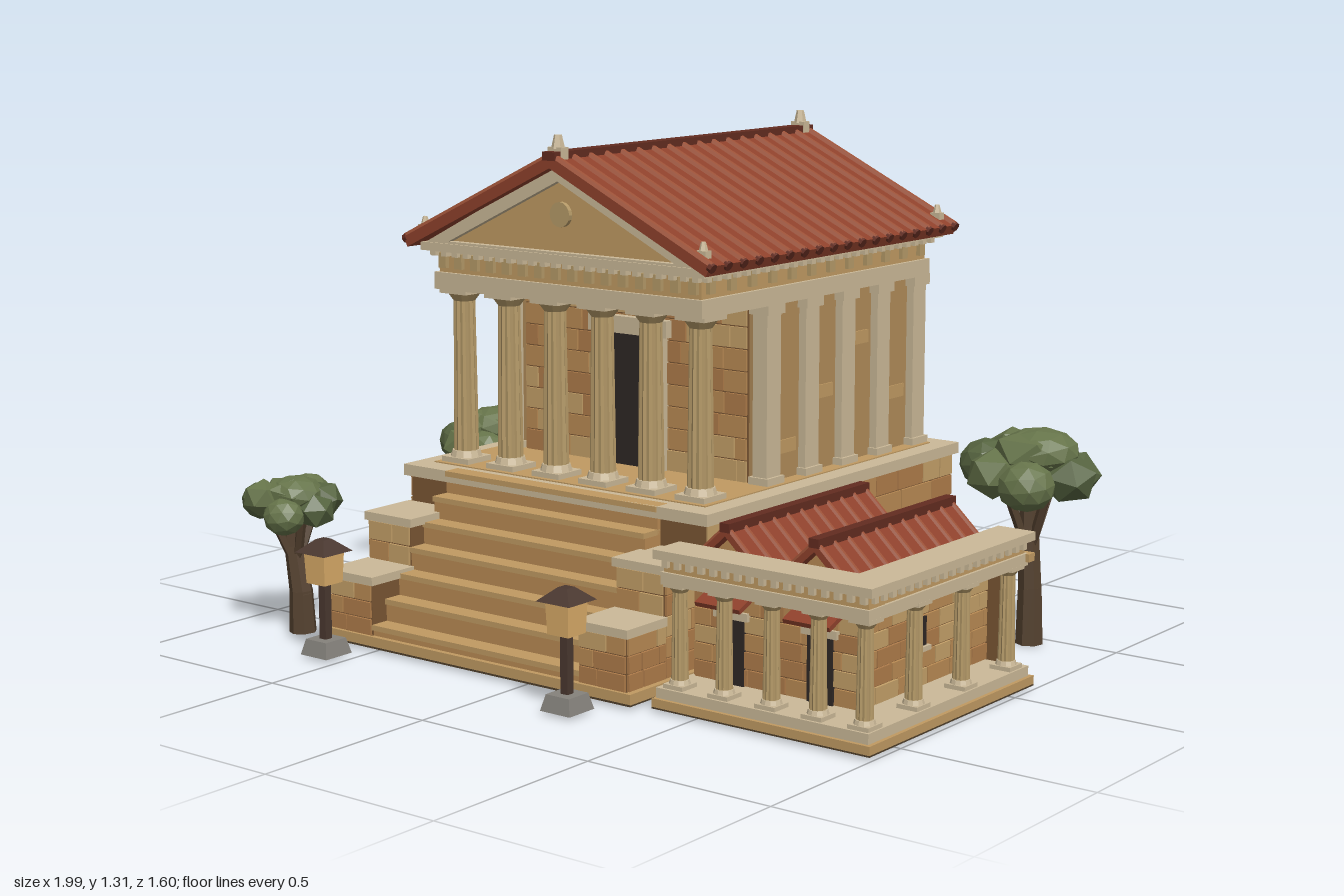
import * as THREE from 'three';
import { mergeGeometries } from 'three/addons/utils/BufferGeometryUtils.js';

const mat = (color) => new THREE.MeshStandardMaterial({ color, flatShading: true });
const M = {
  stone: mat(0xcbb998), tan: mat(0xc09a62), column: mat(0xb59a68), mortar: mat(0x7a5634),
  brickA: mat(0xb98a53), brickB: mat(0xc4a068), brickC: mat(0xaf7c4a), wall: mat(0xb08b59),
  roof: mat(0x8f412c), rib: mat(0x9c5238), ridge: mat(0x632c20), dark: mat(0x2e2725),
  under: mat(0x4f3f2b), bark: mat(0x54412f), leaf: mat(0x66744a), leafDark: mat(0x566440),
  grey: mat(0x85827c), lamp: mat(0xdcae69), post: mat(0x4a3830),
};
const CX = -0.17; // temple axis

function rng(seed) {
  return () => (seed = (seed * 16807) % 2147483647) / 2147483647;
}
function add(parent, name, geo, material, x = 0, y = 0, z = 0) {
  const m = new THREE.Mesh(geo, material);
  m.name = name;
  m.position.set(x, y, z);
  parent.add(m);
  return m;
}
function group(parent, name, x = 0, y = 0, z = 0) {
  const g = new THREE.Group();
  g.name = name;
  g.position.set(x, y, z);
  parent.add(g);
  return g;
}
// Box given by its limits on each axis
function box(parent, name, material, x0, x1, y0, y1, z0, z1) {
  return add(parent, name, new THREE.BoxGeometry(x1 - x0, y1 - y0, z1 - z0), material,
    (x0 + x1) / 2, (y0 + y1) / 2, (z0 + z1) / 2);
}
// Courses of uneven bricks on a vertical face; x, z is the face centre, turn its heading
function bricks(parent, name, x, y, z, turn, w, h, rows, seed) {
  const g = group(parent, name, x, y, z), rand = rng(seed), sets = [[], [], []];
  g.rotation.y = turn;
  const rh = h / rows, gap = 0.004;
  for (let r = 0; r < rows; r++) {
    let u = -w / 2;
    while (u < w / 2 - 0.005) {
      let len = rh * (1.3 + rand() * 1.3);
      if (u === -w / 2 && r % 2) len *= 0.55;
      if (w / 2 - u - len < rh * 0.5) len = w / 2 - u;
      const b = new THREE.BoxGeometry(len - gap, rh - gap, 0.008 + rand() * 0.004);
      sets[Math.floor(rand() * 3)].push(b.translate(u + len / 2, rh * (r + 0.5), 0.001));
      u += len;
    }
  }
  sets.forEach((s, i) => s.length && add(g, 'bricks', mergeGeometries(s), [M.brickA, M.brickB, M.brickC][i]));
}
// Fluted column with plinth, torus, echinus and abacus
function column(parent, x, z, y0, y1, r) {
  const g = group(parent, 'column', x, y0, z), h = y1 - y0, n = 24;
  const shaft = new THREE.CylinderGeometry(r * 0.85, r, h - r * 1.6, n, 1, true), p = shaft.attributes.position;
  for (let i = 0; i < p.count; i++)
    if ((i % (n + 1)) % 2) { p.setX(i, p.getX(i) * 0.87); p.setZ(i, p.getZ(i) * 0.87); }
  add(g, 'shaft', shaft, M.column, 0, h / 2);
  add(g, 'plinth', new THREE.BoxGeometry(r * 2.7, r * 0.5, r * 2.7), M.stone, 0, r * 0.25);
  add(g, 'baseRing', new THREE.CylinderGeometry(r * 1.1, r * 1.25, r * 0.5, 12), M.stone, 0, r * 0.75);
  add(g, 'echinus', new THREE.CylinderGeometry(r * 1.3, r * 0.85, r * 0.6, 12), M.column, 0, h - r * 0.8);
  add(g, 'abacus', new THREE.BoxGeometry(r * 2.7, r * 0.5, r * 2.7), M.stone, 0, h - r * 0.25);
}
// Two ribbed slopes meeting at a ridge that runs along z
function gableRoof(parent, name, cx, half, eave, ridge, z0, z1, t, ribs, r) {
  const g = group(parent, name, cx, ridge, 0);
  const a = Math.atan2(ridge - eave, half), L = Math.hypot(half, ridge - eave);
  for (const s of [-1, 1]) {
    const side = group(g, 'slope');
    side.rotation.z = -s * a;
    box(side, 'tiles', M.roof, Math.min(0, s * L), Math.max(0, s * L), -t, 0, z0, z1);
    const list = [], ends = [];
    for (let i = 0; i <= ribs; i++) {
      const z = z0 + r + ((z1 - z0 - 2 * r) * i) / ribs;
      list.push(new THREE.CylinderGeometry(r, r, L, 6).rotateZ(Math.PI / 2).translate(s * L / 2, 0, z));
      ends.push(new THREE.CylinderGeometry(r * 1.3, r * 1.3, 0.012, 8).rotateZ(Math.PI / 2).translate(s * L, -r * 0.4, z));
    }
    add(side, 'ribs', mergeGeometries(list), M.rib);
    add(side, 'tileEnds', mergeGeometries(ends), M.ridge);
  }
  box(g, 'ridgeCap', M.ridge, -r * 2, r * 2, -0.012, 0.01, z0 - 0.003, z1 + 0.003);
}
// Row of small blocks from a to b along one axis
function blocks(parent, name, material, n, a, b, size, place) {
  const list = [];
  for (let i = 0; i < n; i++)
    list.push(new THREE.BoxGeometry(...size).translate(...place(a + ((b - a) * i) / (n - 1))));
  add(parent, name, mergeGeometries(list), material);
}
function triangle(half, h) {
  return [new THREE.Vector2(-half, 0), new THREE.Vector2(half, 0), new THREE.Vector2(0, h)];
}

function temple(root) {
  const g = group(root, 'temple');
  // Podium and cornice
  box(g, 'underside', M.under, -0.67, 0.335, 0, 0.005, -0.8, 0.645);
  box(g, 'podiumPlinth', M.tan, -0.67, 0.335, 0.004, 0.03, -0.8, 0.645);
  box(g, 'podiumCore', M.mortar, -0.655, 0.32, 0.03, 0.385, -0.785, 0.33);
  box(g, 'podiumFloor', M.stone, -0.67, 0.335, 0.38, 0.41, -0.8, 0.345);
  box(g, 'porchFloor', M.tan, -0.62, 0.28, 0.41, 0.413, -0.74, 0.28);
  bricks(g, 'podiumBack', CX, 0.03, -0.785, Math.PI, 0.975, 0.35, 6, 11);
  bricks(g, 'podiumLeft', 0.32, 0.03, -0.227, Math.PI / 2, 1.115, 0.35, 6, 23);
  bricks(g, 'podiumRight', -0.655, 0.03, -0.227, -Math.PI / 2, 1.115, 0.35, 6, 37);
  // Stairs between stepped cheek walls
  for (let i = 0; i < 7; i++) {
    const h = 0.41 * (i + 1) / 7, z = 0.637 - i * 0.048;
    box(g, 'step', M.brickA, -0.52, 0.18, 0.01, h - 0.014, 0.32, z - 0.006);
    box(g, 'tread', M.tan, -0.52, 0.18, h - 0.014, h, 0.3, z);
  }
  for (const s of [-1, 1]) for (const [z0, z1, h, seed] of [[0.33, 0.49, 0.31, 5], [0.49, 0.635, 0.185, 9]]) {
    const x = CX + s * 0.415;
    box(g, 'cheekWall', M.mortar, x - 0.072, x + 0.072, 0.03, h - 0.02, z0, z1);
    box(g, 'cheekCap', M.stone, x - 0.082, x + 0.082, h - 0.022, h, z0, z1 + 0.01);
    const rows = Math.round(h / 0.06);
    bricks(g, 'cheekFront', x, 0.03, z1, 0, 0.144, h - 0.052, rows, seed);
    bricks(g, 'cheekSide', x + s * 0.072, 0.03, (z0 + z1) / 2, s * Math.PI / 2, z1 - z0, h - 0.052, rows, seed + 4);
  }
  // Cella walls, pilasters and door
  box(g, 'cella', M.wall, -0.58, 0.24, 0.41, 0.88, -0.725, -0.01);
  box(g, 'backMortar', M.mortar, -0.54, 0.2, 0.41, 0.88, -0.732, -0.72);
  box(g, 'frontMortar', M.mortar, -0.54, 0.2, 0.41, 0.88, -0.012, -0.004);
  bricks(g, 'cellaBack', CX, 0.412, -0.732, Math.PI, 0.74, 0.46, 9, 71);
  bricks(g, 'cellaFront', CX, 0.412, -0.004, 0, 0.74, 0.46, 8, 83);
  for (const s of [-1, 1]) {
    const x = CX + s * 0.41;
    for (const z of [-0.03, -0.2, -0.365, -0.53, -0.705]) {
      box(g, 'pilaster', M.stone, x - 0.022, x + 0.022, 0.41, 0.88, z - 0.03, z + 0.03);
      box(g, 'pilasterBase', M.stone, x - 0.03, x + 0.03, 0.41, 0.432, z - 0.037, z + 0.037);
      box(g, 'pilasterCapital', M.stone, x - 0.03, x + 0.03, 0.85, 0.88, z - 0.037, z + 0.037);
    }
    for (const [y, z] of [[0.48, -0.115], [0.72, -0.445], [0.6, -0.28], [0.55, -0.62]])
      box(g, 'exposedBrick', M.tan, x - 0.004, x + 0.004, y, y + 0.035, z - 0.04, z + 0.04);
    box(g, 'doorJamb', M.stone, CX + s * 0.095 - 0.02, CX + s * 0.095 + 0.02, 0.41, 0.78, -0.01, 0.02);
  }
  box(g, 'door', M.dark, CX - 0.08, CX + 0.08, 0.41, 0.765, -0.01, 0.008);
  box(g, 'doorLintel', M.stone, CX - 0.13, CX + 0.13, 0.765, 0.81, -0.01, 0.026);
  for (let i = 0; i < 6; i++) column(g, CX + (i - 2.5) * 0.156, 0.22, 0.41, 0.88, 0.034);
  // Entablature
  box(g, 'architrave', M.stone, CX - 0.44, CX + 0.44, 0.875, 0.92, -0.74, 0.28);
  box(g, 'frieze', M.tan, CX - 0.43, CX + 0.43, 0.92, 0.98, -0.73, 0.27);
  box(g, 'cornice', M.stone, CX - 0.465, CX + 0.465, 0.978, 1.0, -0.765, 0.305);
  for (const s of [-1, 1]) {
    blocks(g, 'sideBlocks', M.column, 12, -0.7, 0.24, [0.02, 0.04, 0.025], (z) => [CX + s * 0.432, 0.952, z]);
    blocks(g, 'endBlocks', M.column, 16, -0.41, 0.41, [0.025, 0.04, 0.02], (x) => [CX + x, 0.952, s > 0 ? 0.272 : -0.732]);
    blocks(g, 'dentils', M.stone, 26, -0.73, 0.27, [0.02, 0.015, 0.018], (z) => [CX + s * 0.445, 0.972, z]);
    blocks(g, 'endDentils', M.stone, 24, -0.43, 0.43, [0.018, 0.015, 0.02], (x) => [CX + x, 0.972, s > 0 ? 0.285 : -0.745]);
    // Pediment
    const zEnd = s > 0 ? 0.27 : -0.73;
    const rim = new THREE.Shape(triangle(0.465, 0.235));
    const hole = new THREE.Path(triangle(0.37, 0.178).map((p) => p.add(new THREE.Vector2(0, 0.014))));
    rim.holes.push(hole);
    add(g, 'rakingCornice', new THREE.ExtrudeGeometry(rim, { depth: 0.035, bevelEnabled: false }), M.stone, CX, 0.992, s > 0 ? 0.265 : -0.76);
    add(g, 'tympanum', new THREE.ExtrudeGeometry(new THREE.Shape(triangle(0.44, 0.22)), { depth: 0.02, bevelEnabled: false }), M.tan, CX, 0.995, zEnd - 0.01);
    add(g, 'medallion', new THREE.CylinderGeometry(0.032, 0.032, 0.02, 16).rotateX(Math.PI / 2), M.column, CX, 1.1, zEnd + s * 0.012);
    // Roof ornaments
    const zf = s > 0 ? 0.295 : -0.75;
    box(g, 'ridgePedestal', M.stone, CX - 0.022, CX + 0.022, 1.235, 1.27, zf - 0.014, zf + 0.014);
    add(g, 'ridgeFinial', new THREE.CylinderGeometry(0.01, 0.018, 0.035, 6), M.stone, CX, 1.283, zf);
    for (const e of [-1, 1]) {
      box(g, 'cornerPedestal', M.stone, CX + e * 0.455 - 0.015, CX + e * 0.455 + 0.015, 1.01, 1.045, zf - 0.012, zf + 0.012);
      add(g, 'cornerFinial', new THREE.CylinderGeometry(0.006, 0.012, 0.022, 6), M.stone, CX + e * 0.455, 1.055, zf);
    }
  }
  gableRoof(g, 'roof', CX, 0.5, 1.012, 1.25, -0.78, 0.33, 0.028, 17, 0.01);
}

function annex(root) {
  const g = group(root, 'annex');
  box(g, 'underside', M.under, 0.38, 0.995, 0, 0.004, -0.095, 0.62);
  box(g, 'lowerBase', M.tan, 0.38, 0.995, 0.004, 0.025, -0.095, 0.62);
  box(g, 'upperBase', M.stone, 0.385, 0.985, 0.025, 0.05, -0.085, 0.61);
  // Twin shops with gabled roofs
  box(g, 'shopWalls', M.mortar, 0.4, 0.87, 0.05, 0.315, -0.075, 0.475);
  bricks(g, 'shopFront', 0.635, 0.05, 0.475, 0, 0.47, 0.26, 6, 41);
  bricks(g, 'shopSide', 0.87, 0.05, 0.2, Math.PI / 2, 0.55, 0.26, 6, 43);
  bricks(g, 'shopOuterSide', 0.4, 0.05, 0.2, -Math.PI / 2, 0.55, 0.26, 6, 45);
  for (const x of [0.512, 0.765]) {
    add(g, 'gable', new THREE.ExtrudeGeometry(new THREE.Shape(triangle(0.115, 0.11)), { depth: 0.55, bevelEnabled: false }), M.brickA, x, 0.308, -0.075);
    gableRoof(g, 'shopRoof', x, 0.123, 0.322, 0.435, -0.07, 0.51, 0.016, 10, 0.007);
    box(g, 'shopDoor', M.dark, x - 0.036, x + 0.036, 0.05, 0.21, 0.47, 0.484);
    box(g, 'doorLintel', M.stone, x - 0.05, x + 0.05, 0.21, 0.23, 0.47, 0.49);
    const awning = add(g, 'awning', new THREE.BoxGeometry(0.13, 0.012, 0.075), M.roof, x, 0.262, 0.505);
    awning.rotation.x = 0.4;
  }
  box(g, 'window', M.dark, 0.86, 0.88, 0.15, 0.22, 0.21, 0.265);
  box(g, 'windowSill', M.stone, 0.86, 0.888, 0.138, 0.15, 0.2, 0.275);
  // Rear wall
  box(g, 'rearWall', M.mortar, 0.385, 0.93, 0.03, 0.315, -0.085, -0.07);
  bricks(g, 'rearBricks', 0.657, 0.05, -0.085, Math.PI, 0.545, 0.265, 6, 47);
  box(g, 'rearCoping', M.tan, 0.38, 0.99, 0.31, 0.33, -0.095, -0.068);
  // Colonnade on two sides
  for (const x of [0.43, 0.56, 0.695, 0.825]) column(g, x, 0.575, 0.05, 0.305, 0.021);
  for (const z of [0.575, 0.375, 0.17, -0.035]) column(g, 0.952, z, 0.05, 0.305, 0.021);
  box(g, 'frontBeam', M.stone, 0.395, 0.98, 0.3, 0.33, 0.53, 0.605);
  box(g, 'sideBeam', M.stone, 0.91, 0.98, 0.3, 0.33, -0.08, 0.6);
  box(g, 'frontFrieze', M.tan, 0.4, 0.975, 0.33, 0.365, 0.535, 0.598);
  box(g, 'sideFrieze', M.tan, 0.915, 0.973, 0.33, 0.365, -0.075, 0.595);
  box(g, 'frontCornice', M.stone, 0.382, 0.995, 0.362, 0.384, 0.515, 0.618);
  box(g, 'sideCornice', M.stone, 0.89, 0.994, 0.362, 0.383, -0.09, 0.615);
  blocks(g, 'frontDentils', M.stone, 17, 0.41, 0.965, [0.016, 0.02, 0.014], (x) => [x, 0.352, 0.602]);
  blocks(g, 'sideDentils', M.stone, 19, -0.06, 0.58, [0.014, 0.02, 0.016], (z) => [0.977, 0.352, z]);
}

// Bent trunk, forked limbs and faceted leaf clumps
function tree(root, x, z, rx, rz, y0, y1, lean, seed) {
  const g = group(root, 'tree', x, 0, z), rand = rng(seed), mid = (y0 + y1) / 2, ry = (y1 - y0) / 2;
  const pts = [[lean, 0], [lean * 0.9, 0.3], [lean * 0.2, 0.65], [0, 1]].map(([o, k]) => new THREE.Vector3(o, k * mid, 0));
  for (let i = 0; i < 3; i++)
    add(g, 'trunk', new THREE.CylinderGeometry(0.031 - i * 0.005, 0.036 - i * 0.005, pts[i].distanceTo(pts[i + 1]) + 0.012, 7), M.bark,
      (pts[i].x + pts[i + 1].x) / 2, (pts[i].y + pts[i + 1].y) / 2).quaternion.setFromUnitVectors(new THREE.Vector3(0, 1, 0), pts[i + 1].clone().sub(pts[i]).normalize());
  for (let i = 0; i < 4; i++) {
    const a = i * 1.57 + 0.4;
    const path = new THREE.LineCurve3(new THREE.Vector3(lean * 0.4, mid * 0.5, 0), new THREE.Vector3(Math.cos(a) * rx * 0.5, mid, Math.sin(a) * rz * 0.5));
    add(g, 'limb', new THREE.TubeGeometry(path, 1, 0.013, 5), M.bark);
  }
  for (let i = 0; i < 9; i++) {
    const a = i * 0.9 + rand() * 0.3, k = i < 7 ? 0.6 : 0.15, s = i < 7 ? 0.4 : 0.55;
    const up = i < 7 ? (rand() - 0.5) * 0.7 : 0.42;
    const leaf = add(g, 'foliage', new THREE.IcosahedronGeometry(1, i % 2).rotateY(rand() * 3).rotateX(rand() * 3), i % 3 ? M.leaf : M.leafDark,
      Math.cos(a) * rx * k, mid + up * ry, Math.sin(a) * rz * k);
    leaf.scale.set(rx * s, ry * (i < 7 ? 0.62 : 0.58), rz * s);
  }
}

function lantern(root, x, z) {
  const g = group(root, 'lantern', x, 0, z);
  add(g, 'foot', new THREE.CylinderGeometry(0.05, 0.064, 0.04, 4).rotateY(Math.PI / 4), M.grey, 0, 0.02);
  box(g, 'post', M.post, -0.011, 0.011, 0.04, 0.185, -0.011, 0.011);
  add(g, 'lampBox', new THREE.CylinderGeometry(0.05, 0.045, 0.08, 4).rotateY(Math.PI / 4), M.lamp, 0, 0.225);
  add(g, 'lampRoof', new THREE.CylinderGeometry(0.02, 0.072, 0.032, 4).rotateY(Math.PI / 4), M.post, 0, 0.281);
}

export function createModel() {
  const root = new THREE.Group();
  root.name = 'templeScene';
  temple(root);
  annex(root);
  tree(root, 0.77, -0.44, 0.19, 0.18, 0.35, 0.56, 0.01, 101);
  tree(root, -0.845, -0.19, 0.155, 0.14, 0.28, 0.47, 0.06, 211);
  tree(root, -0.81, 0.62, 0.14, 0.13, 0.25, 0.41, 0.03, 307);
  for (const x of [-0.565, 0.23]) lantern(root, x, 0.75);
  return root;
}
